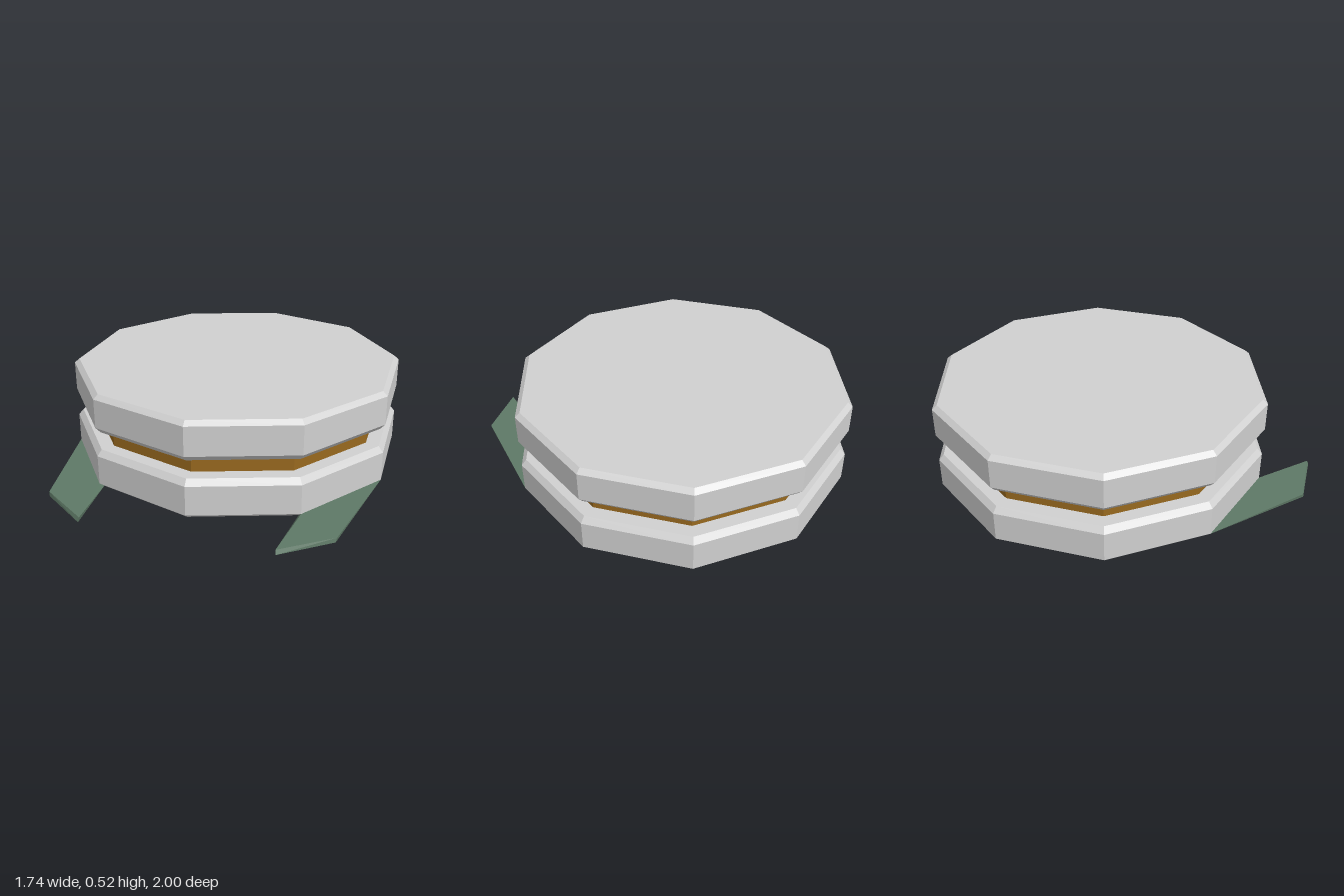
import * as THREE from 'three';
import { ConvexGeometry } from 'three/addons/geometries/ConvexGeometry.js';

const SIDES = 10, R = 0.915, R_IN = 0.888, CENTER_Z = -0.085;

export function createModel() {
  const make = (name, color) => {
    const m = new THREE.MeshStandardMaterial({ color, flatShading: true });
    m.name = name;
    return m;
  };
  const shell = make('lightGrey', 0xd0d0d0);
  const filling = make('brown', 0x98691f);
  const leaf = make('green', 0x5e7966);

  const model = new THREE.Group();
  model.name = 'layeredDisc';
  const add = (name, geometry, material) => {
    const mesh = new THREE.Mesh(geometry, material);
    mesh.name = name;
    model.add(mesh);
    return mesh;
  };

  // Ten-sided discs with bevelled rims; y lists the four profile heights
  const disc = (name, y) => {
    const profile = [[0, y[0]], [R_IN, y[0]], [R, y[1]], [R, y[2]], [R_IN, y[3]], [0, y[3]]]
      .map(([r, h]) => new THREE.Vector2(r, h));
    const geometry = new THREE.LatheGeometry(profile, SIDES).toNonIndexed();
    geometry.computeVertexNormals();
    add(name, geometry, shell).position.z = CENTER_Z;
  };
  disc('lowerDisc', [0, 0.022, 0.182, 0.213]);
  disc('upperDisc', [0.312, 0.343, 0.5, 0.523]);

  // Recessed middle layer
  add('filling', new THREE.CylinderGeometry(0.815, 0.815, 0.1, SIDES, 1, true), filling)
    .position.set(0, 0.2625, CENTER_Z);

  // Thin flaps drawn out of the lower bevel, one on each side
  const corner = (r, y, step) => {
    const a = step * Math.PI * 2 / SIDES;
    return [r * Math.sin(a), y, CENTER_Z + r * Math.cos(a)];
  };
  for (const side of [1, -1]) {
    const tip = side > 0 ? [0.742, 0.813] : [0.75, 0.805];
    const points = [
      corner(R, 0.022, 1), corner(R, 0.022, 2),
      corner(R_IN, 0, 1), corner(R_IN, 0, 2),
      [0.49, 0.022, 0.99], [tip[0], 0.022, tip[1]],
      [0.492, 0, 1], [tip[0] - 0.005, 0, tip[1] + 0.008],
    ].map(([x, y, z]) => new THREE.Vector3(side * x, y, z));
    add(side > 0 ? 'leftFlap' : 'rightFlap', new ConvexGeometry(points), leaf);
  }
  return model;
}
